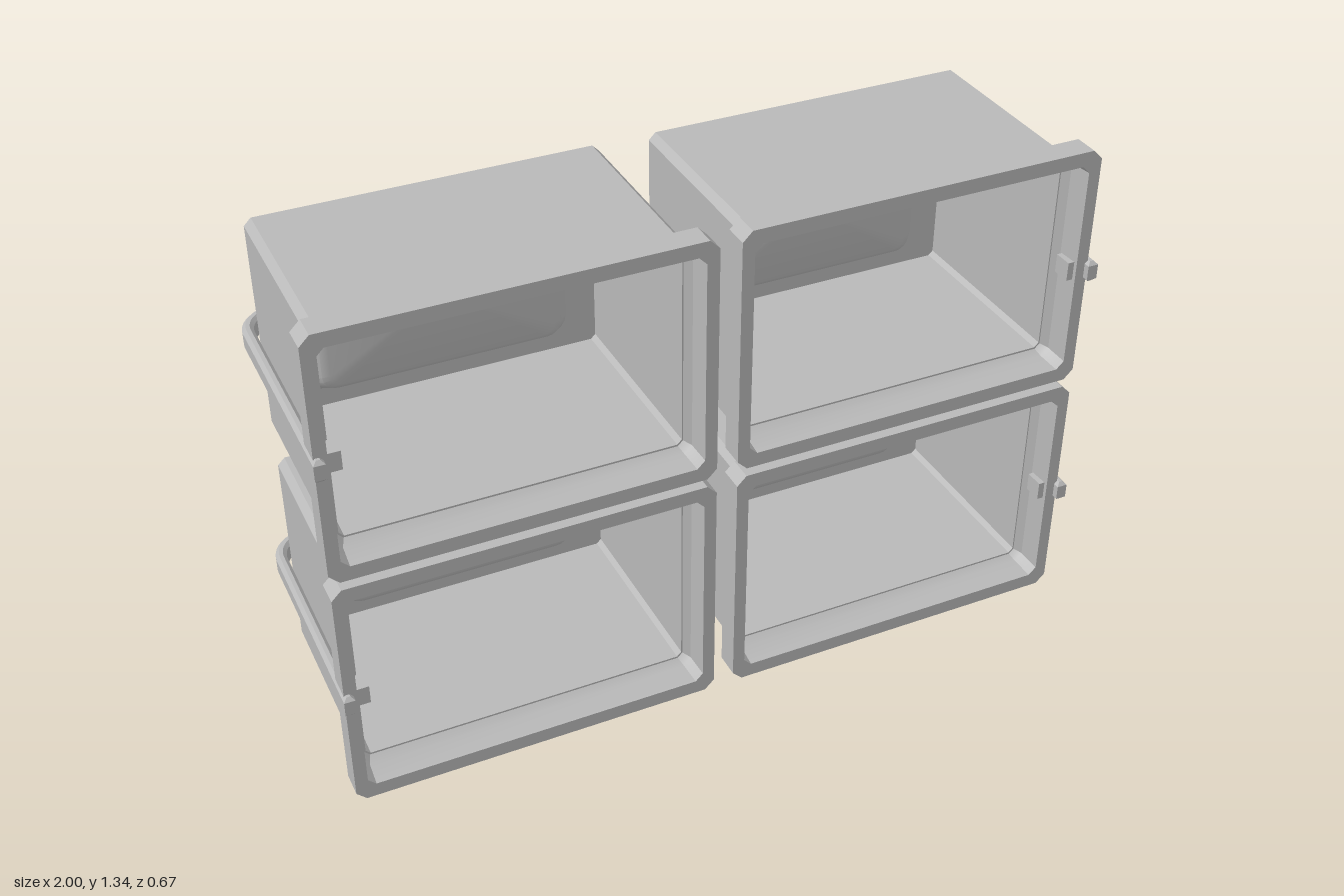
import * as THREE from 'three';
import { toCreasedNormals } from 'three/addons/utils/BufferGeometryUtils.js';

const SEG = 4; // steps per corner

// Rectangle outline with cut (chamfered) or rounded corners, counter-clockwise seen from +z
function ring([hx, hy, z, c, round]) {
  const pts = [];
  for (let q = 0; q < 4; q++) {
    const sx = q === 0 || q === 3 ? 1 : -1, sy = q < 2 ? 1 : -1;
    for (let i = 0; i <= SEG; i++) {
      const a = (q + i / SEG) * Math.PI / 2;
      let u = Math.cos(a), v = Math.sin(a);
      if (!round) {
        const t = q % 2 ? 1 - i / SEG : i / SEG;
        u = sx * (1 - t);
        v = sy * t;
      }
      pts.push([sx * (hx - c) + u * c, sy * (hy - c) + v * c, z]);
    }
  }
  return pts;
}

// Skin through a list of rings, optionally closing both ends
function loft(profile, caps) {
  const rings = profile.map(ring), n = rings[0].length, pos = [];
  const tri = (...p) => p.forEach((v) => pos.push(...v));
  for (let k = 0; k < rings.length - 1; k++) {
    const a = rings[k], b = rings[k + 1];
    for (let i = 0; i < n; i++) {
      const j = (i + 1) % n;
      tri(a[i], a[j], b[j]);
      tri(a[i], b[j], b[i]);
    }
  }
  if (caps) {
    const a = rings[0], b = rings[rings.length - 1];
    for (let i = 0; i < n; i++) {
      const j = (i + 1) % n;
      tri([0, 0, a[0][2]], a[j], a[i]);
      tri([0, 0, b[0][2]], b[i], b[j]);
    }
  }
  const g = new THREE.BufferGeometry();
  g.setAttribute('position', new THREE.Float32BufferAttribute(pos, 3));
  return toCreasedNormals(g, 0.6);
}

// U-shaped band around the back and sides, lying flat in xz
function strapGeometry() {
  const X = 1, Z = 0.337, T = 0.028, R = 0.1, bevel = 0.009, H = 0.057;
  const s = new THREE.Shape();
  s.moveTo(-X, -Z);
  s.lineTo(-X, Z - R);
  s.absarc(-X + R, Z - R, R, Math.PI, Math.PI / 2, true);
  s.absarc(X - R, Z - R, R, Math.PI / 2, 0, true);
  s.lineTo(X, -Z);
  s.lineTo(X - T, -Z);
  s.absarc(X - R, Z - R, R - T, 0, Math.PI / 2, false);
  s.absarc(-X + R, Z - R, R - T, Math.PI / 2, Math.PI, false);
  s.lineTo(-X + T, -Z);
  s.closePath();
  const g = new THREE.ExtrudeGeometry(s, {
    depth: H - 2 * bevel, bevelEnabled: true, bevelThickness: bevel,
    bevelSize: bevel, bevelOffset: -bevel, bevelSegments: 1, curveSegments: 8,
  });
  g.translate(0, 0, bevel - H / 2);
  g.rotateX(-Math.PI / 2);
  return toCreasedNormals(g, 0.5);
}

export function createModel() {
  const model = new THREE.Group();
  const grey = new THREE.MeshStandardMaterial({ color: 0xb8b8b8 });
  grey.name = 'grey plastic';

  const add = (parent, name, geometry, x = 0, y = 0, z = 0) => {
    const mesh = new THREE.Mesh(geometry, grey);
    mesh.name = name;
    mesh.position.set(x, y, z);
    parent.add(mesh);
  };

  // Bin shell: pressed-in back panel, outer walls, front edge, inner walls, inner boss
  const body = loft([
    [0.285, 0.182, -0.25, 0.03, true],
    [0.3, 0.192, -0.256, 0.035, true],
    [0.325, 0.21, -0.295, 0.04, true],
    [0.425, 0.275, -0.295, 0.012],
    [0.441, 0.29, -0.274, 0.018],
    [0.441, 0.29, 0.236, 0.018],
    [0.426, 0.27, 0.236, 0.012],
    [0.42, 0.268, -0.28, 0.012],
    [0.34, 0.22, -0.28, 0.045, true],
    [0.312, 0.202, -0.242, 0.038, true],
    [0.292, 0.19, -0.235, 0.03, true],
  ], true);

  // Front rim: closed frame with a chamfered back edge and a stepped opening
  const rim = loft([
    [0.426, 0.27, 0.232, 0.012],
    [0.462, 0.31, 0.232, 0.025],
    [0.48, 0.328, 0.253, 0.025],
    [0.48, 0.328, 0.32, 0.025],
    [0.448, 0.29, 0.32, 0.02],
    [0.444, 0.286, 0.255, 0.02],
    [0.426, 0.27, 0.232, 0.012],
  ], false);

  const strap = strapGeometry();
  const peg = new THREE.BoxGeometry(0.055, 0.05, 0.05);

  [0.328, 1.007].forEach((y, row) => {
    for (const x of [-0.515, 0.5]) {
      const bin = new THREE.Group();
      bin.name = 'bin';
      bin.position.set(x, y, 0);
      add(bin, 'binBody', body, 0, 0.002);
      add(bin, 'binRim', rim);
      model.add(bin);
    }
    // Holding band with pegs reaching through the rims
    const strapY = [0.318, 1.0][row];
    add(model, 'strap', strap, 0, strapY);
    for (const side of [-1, 1]) add(model, 'strapPeg', peg, side * 0.958, strapY, 0.285);
  });
  return model;
}
